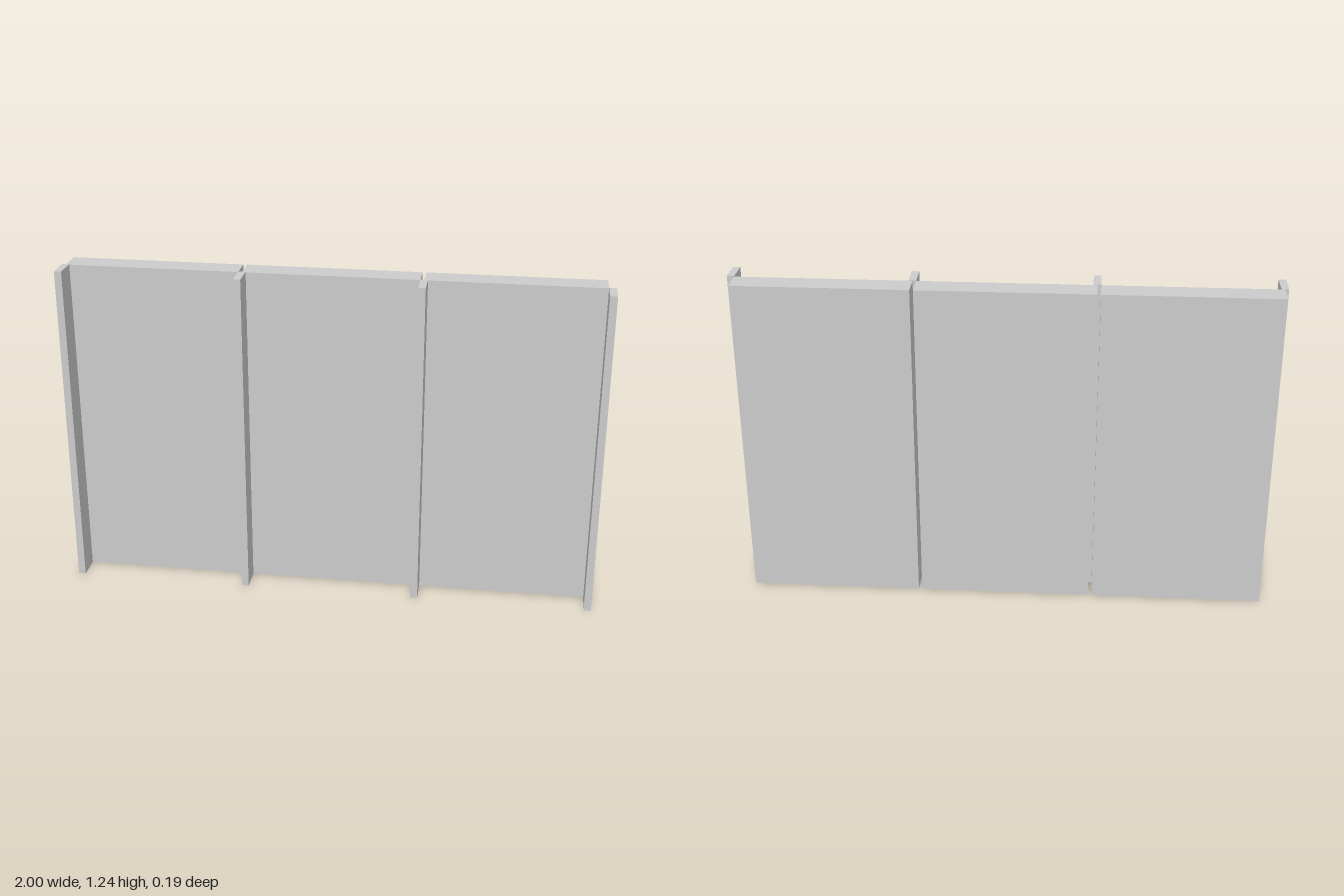
import * as THREE from 'three';

const PITCH = 0.6577;      // spacing between posts
const POST_W = 0.027;
const HEIGHT = 1.243;
const DEPTH = 0.094;       // depth of posts and of panels
const INSET = 0.002;       // panels sit slightly inside the post height

export function createModel() {
  const group = new THREE.Group();
  const material = new THREE.MeshStandardMaterial({ color: 0xcccccc, flatShading: true });

  const addBox = (name, w, h, d, x, y, z) => {
    const mesh = new THREE.Mesh(new THREE.BoxGeometry(w, h, d), material);
    mesh.name = name;
    mesh.position.set(x, y, z);
    group.add(mesh);
  };

  // Four upright posts along the front
  for (let i = 0; i < 4; i++) {
    addBox(`post${i + 1}`, POST_W, HEIGHT, DEPTH, (i - 1.5) * PITCH, HEIGHT / 2, DEPTH / 2);
  }

  // Three thick panels behind, each from a post's centre to the next post's near edge
  const panelW = PITCH - POST_W / 2;
  for (let i = 0; i < 3; i++) {
    const start = (i - 1.5) * PITCH;
    addBox(`panel${i + 1}`, panelW, HEIGHT - 2 * INSET, DEPTH, start + panelW / 2, HEIGHT / 2, -DEPTH / 2);
  }

  return group;
}
